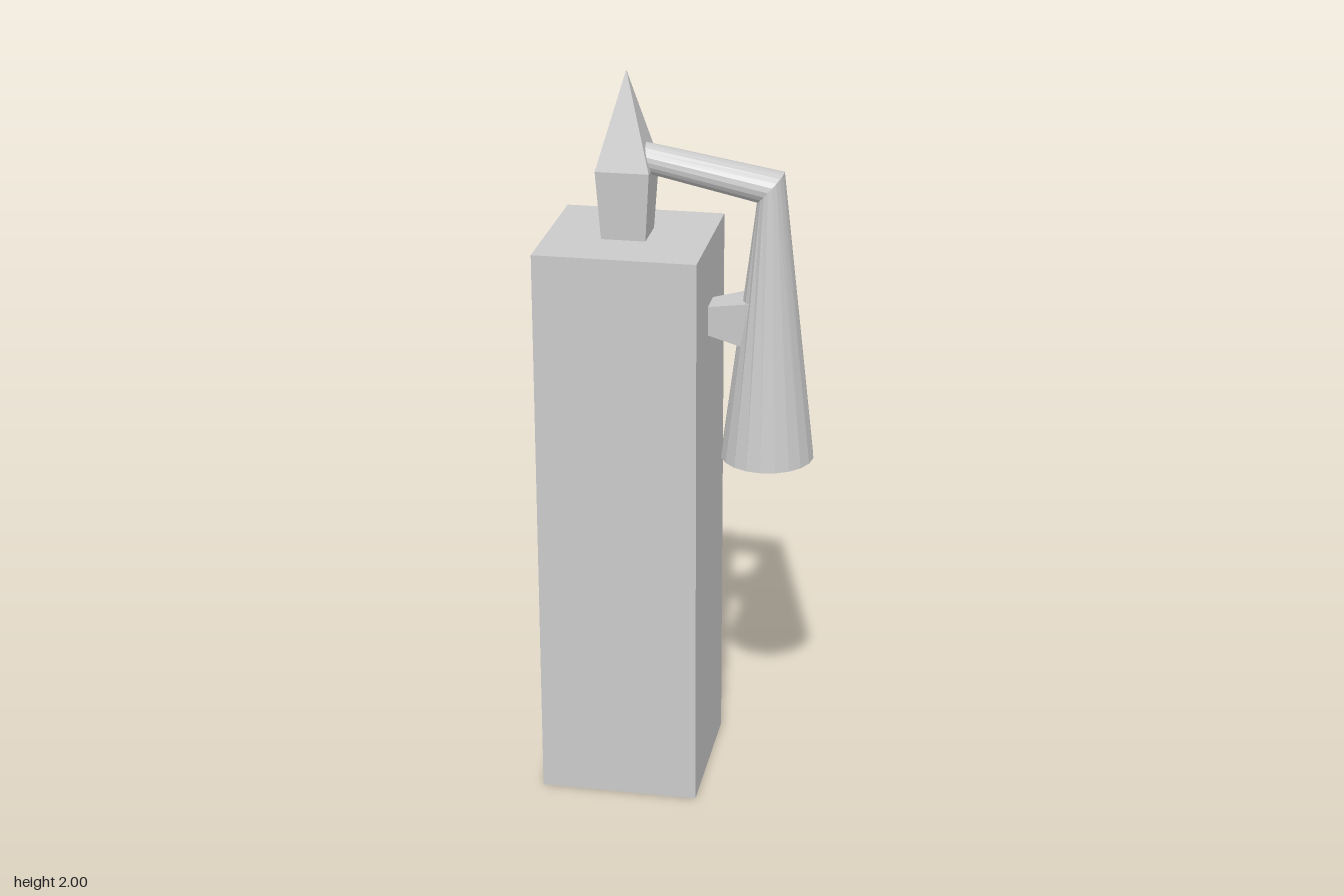
import * as THREE from 'three';

const material = new THREE.MeshStandardMaterial({ color: 0xcccccc, flatShading: true });

function add(parent, name, geometry, x = 0, y = 0, z = 0) {
  const mesh = new THREE.Mesh(geometry, material);
  mesh.name = name;
  mesh.position.set(x, y, z);
  parent.add(mesh);
  return mesh;
}

// Square frustum along y, given half widths at top and bottom
function frustum(top, bottom, height) {
  return new THREE.CylinderGeometry(top * Math.SQRT2, bottom * Math.SQRT2, height, 4)
    .rotateY(Math.PI / 4);
}

// Skin through elliptical rings: [centre x, centre y, in-plane axis x, axis y, z radius]
function loft(rings, sides) {
  const positions = [], index = [];
  rings.forEach(([cx, cy, ux, uy, rz], i) => {
    for (let j = 0; j < sides; j++) {
      const a = (j / sides) * Math.PI * 2, c = Math.cos(a);
      positions.push(cx + ux * c, cy + uy * c, rz * Math.sin(a));
      if (i === rings.length - 1) continue;
      const p = i * sides + j, q = i * sides + (j + 1) % sides;
      index.push(p, q, p + sides, q, q + sides, p + sides);
    }
  });
  const geometry = new THREE.BufferGeometry();
  geometry.setAttribute('position', new THREE.Float32BufferAttribute(positions, 3));
  geometry.setIndex(index);
  geometry.computeVertexNormals();
  return geometry;
}

export function createModel() {
  const model = new THREE.Group();
  model.name = 'postWithSpout';

  // Square post
  add(model, 'post', new THREE.BoxGeometry(0.431, 1.56, 0.43), -0.1425, 0.78, 0);

  // Pointed finial: flared base and pyramid tip
  const finial = new THREE.Group();
  finial.name = 'finial';
  finial.position.set(-0.149, 1.56, -0.003);
  add(finial, 'finialBase', frustum(0.071, 0.059, 0.185), 0, 0.0925, 0);
  add(finial, 'finialTip', frustum(0, 0.071, 0.255), 0, 0.3125, 0);
  model.add(finial);

  // Arm, mitred elbow and flared spout, then the rim and inner wall back up
  add(model, 'armAndSpout', loft([
    [-0.12, 1.777, 0.007, 0.038, 0.04],
    [0.23, 1.71, 0.035, 0.04, 0.055],
    [0.23, 0.96, 0.125, 0, 0.126],
    [0.23, 0.96, 0.116, 0, 0.117],
    [0.23, 1.70, 0.029, 0.033, 0.047],
    [-0.12, 1.777, 0.006, 0.031, 0.033],
  ], 20), 0, 0, 0.005);

  // Bracket widening from the post into the spout
  const bracket = add(model, 'bracket', frustum(0.038, 0.065, 0.13), 0.13, 1.345, 0.002);
  bracket.rotation.z = Math.PI / 2;

  return model;
}
